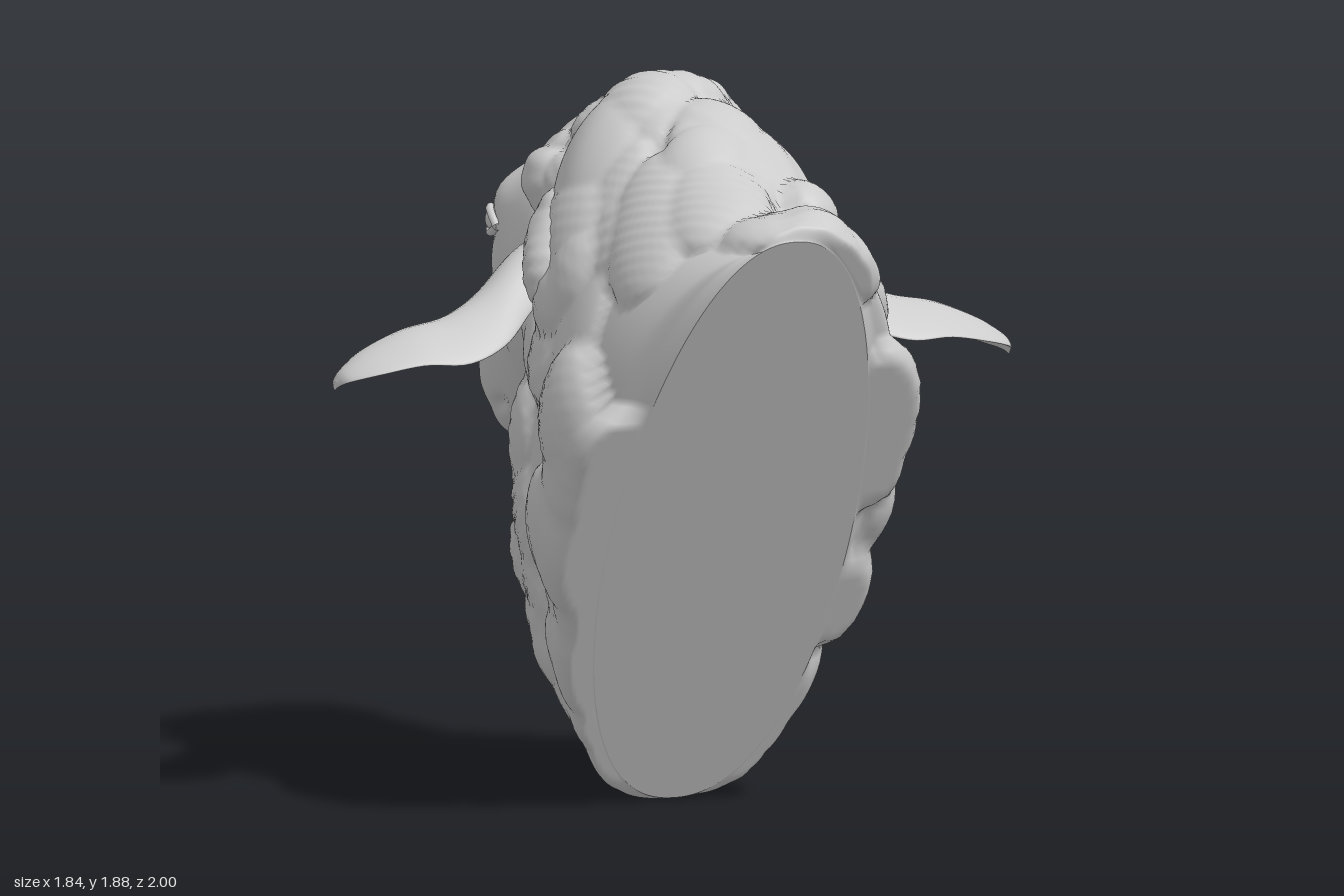
import * as THREE from 'three';

const V = (x, y, z) => new THREE.Vector3(x, y, z);
const wool = new THREE.MeshStandardMaterial({ color: 0xcccccc });

function seeded(seed) {
  return () => {
    seed = (seed * 1664525 + 1013904223) % 4294967296;
    return seed / 4294967296;
  };
}

// Closed skin from rings: f(u, angle) gives a point; both ends are capped flat.
function loft(nu, nv, f, displace) {
  const pos = [], index = [], caps = [];
  for (let i = 0; i <= nu; i++)
    for (let j = 0; j < nv; j++) pos.push(...f(i / nu, (j / nv) * Math.PI * 2).toArray());
  for (let i = 0; i < nu; i++)
    for (let j = 0; j < nv; j++) {
      const k = (j + 1) % nv, a = i * nv + j, b = i * nv + k;
      index.push(a, b, a + nv, b, b + nv, a + nv);
    }
  const g = new THREE.BufferGeometry();
  g.setAttribute('position', new THREE.Float32BufferAttribute(pos, 3));
  g.setIndex(index);
  g.computeVertexNormals();
  if (displace) {
    const P = g.attributes.position, N = g.attributes.normal;
    for (let i = 0; i < P.count; i++) {
      const p = V().fromBufferAttribute(P, i), n = V().fromBufferAttribute(N, i);
      p.addScaledVector(n, displace(p, Math.floor(i / nv) / nu, n));
      p.toArray(pos, i * 3);
    }
  }
  for (const row of [0, nu]) {
    const start = pos.length / 3, c = V();
    for (let j = 0; j < nv; j++) {
      const p = V().fromArray(pos, (row * nv + j) * 3);
      c.addScaledVector(p, 1 / nv);
      pos.push(...p.toArray());
    }
    pos.push(...c.toArray());
    for (let j = 0; j < nv; j++) {
      const k = (j + 1) % nv;
      caps.push(start + nv, start + (row ? j : k), start + (row ? k : j));
    }
  }
  g.setAttribute('position', new THREE.Float32BufferAttribute(pos, 3));
  g.setIndex([...index, ...caps]);
  g.computeVertexNormals();
  return g;
}

// Smooth interpolation through rows of numbers
function sample(rows, u) {
  const t = u * (rows.length - 1), i = Math.min(Math.floor(t), rows.length - 2), s = t - i;
  const r = k => rows[Math.max(0, Math.min(rows.length - 1, k))];
  return rows[0].map((_, c) => {
    const [a, b, d, e] = [r(i - 1)[c], r(i)[c], r(i + 1)[c], r(i + 2)[c]];
    return b + 0.5 * s * (d - a + s * (2 * a - 5 * b + 4 * d - e + s * (3 * (b - d) + e - a)));
  });
}

// Ring rows: z and y of one end, z and y of the other end, half width, skew
const rings = (rows, power = 0.8) => (u, a) => {
  const [z0, y0, z1, y1, w, skew] = sample(rows, u);
  const c = Math.cos(a), s = Math.sin(a), m = (1 + c) / 2;
  const x = w * Math.sign(s) * Math.pow(Math.abs(s), power) * (1 + skew * c);
  return V(x, y1 + (y0 - y1) * m, z1 + (z0 - z1) * m);
};

// Rounded, streaked locks scattered over a skin
function woolLocks(f, count, radius, height, seed) {
  const rnd = seeded(seed), locks = [];
  for (let i = 0; i < count; i++)
    locks.push({
      p: f(0.03 + rnd() * 0.95, rnd() * Math.PI * 2),
      r: radius * (1 + rnd()),
      d: V(rnd() - 0.5, rnd() - 0.5, rnd() - 0.5).normalize(),
      h: height * (0.55 + rnd() * 0.7)
    });
  return (p, u) => {
    let best = 0;
    for (const l of locks) {
      const q = p.clone().sub(l.p), along = q.dot(l.d);
      const d2 = (q.lengthSq() - 0.55 * along * along) / (l.r * l.r);
      if (d2 >= 1) continue;
      const dome = Math.sqrt(1 - d2);
      best = Math.max(best, l.h * dome + 0.002 * dome * Math.sin(q.x * 60 + q.y * 75 + along * 90));
    }
    return (best - 0.02) * THREE.MathUtils.smoothstep(u, 0, 0.06);
  };
}

export function createModel() {
  const model = new THREE.Group();
  const add = (name, geometry) => {
    const mesh = new THREE.Mesh(geometry, wool);
    mesh.name = name;
    model.add(mesh);
    return mesh;
  };

  // Woolly neck, cut off by a slanted plane at the shoulders
  const neck = rings([
    [1.0, 1.56, 0.1, 0.0, 0.33, -0.06],
    [0.95, 1.57, 0.08, 0.03, 0.415, 0.08],
    [0.82, 1.585, 0.05, 0.09, 0.435, 0.14],
    [0.64, 1.62, 0.01, 0.16, 0.435, 0.06],
    [0.48, 1.69, -0.04, 0.22, 0.42, -0.03],
    [0.32, 1.78, -0.09, 0.3, 0.4, -0.12],
    [0.15, 1.82, -0.12, 0.4, 0.37, -0.15],
    [0.02, 1.81, -0.13, 0.5, 0.32, -0.1],
    [-0.06, 1.75, -0.13, 0.62, 0.26, 0],
    [-0.11, 1.64, -0.12, 0.8, 0.15, 0.1]
  ], 0.9);
  const neckLocks = woolLocks(neck, 120, 0.1, 0.068, 11);
  const cut = V(0, -0.5, 0.866);
  add('woollyNeck', loft(150, 190, neck, (p, u, n) => {
    const room = Math.max(0, 0.086 - p.dot(cut)), lean = n.dot(cut);
    const rise = neckLocks(p, u);
    return lean > 0.01 ? Math.min(rise, room / lean) : rise;
  }));

  // Bare throat under the jaw
  add('throat', loft(24, 40, rings([
    [0.1, 0.4, -0.12, 0.45, 0.13, 0],
    [0.1, 0.6, -0.18, 0.62, 0.18, 0],
    [0.1, 0.85, -0.23, 0.78, 0.2, 0],
    [0.05, 1.1, -0.33, 0.92, 0.21, 0],
    [0, 1.2, -0.42, 1.0, 0.18, 0]
  ])));

  // Head with brow, eye socket, cheek, nostril and mouth modelled by soft dents: x, y, z, radius, height
  const dents = [
    [0.27, 1.5, -0.47, 0.08, 0.025], [0.28, 1.42, -0.5, 0.06, -0.015],
    [0.22, 1.3, -0.6, 0.08, -0.02], [0.26, 1.15, -0.3, 0.13, 0.012],
    [0.12, 1.06, -0.92, 0.05, 0.02], [0.1, 1.02, -0.955, 0.025, -0.035],
    [0.1, 0.95, -0.92, 0.05, 0.015], [0.08, 0.84, -0.9, 0.05, 0.01],
    [0, 1.0, -1.0, 0.03, -0.015]
  ];
  for (let i = 0; i <= 18; i++)
    dents.push([0.02 + 0.13 * Math.sqrt(i / 18), 0.915 - 0.02 * Math.sin(i / 6), -0.97 + i * 0.012, 0.016, -0.008]);
  const faceRelief = p => dents.reduce((sum, [x, y, z, r, h]) => {
    const d2 = (Math.abs(p.x) - x) ** 2 + (p.y - y) ** 2 + (p.z - z) ** 2;
    return sum + h * Math.exp(-d2 / (r * r));
  }, 0);
  add('head', loft(110, 96, rings([
    [-0.02, 1.58, -0.08, 1.12, 0.22, 0],
    [-0.14, 1.64, -0.18, 1.0, 0.29, 0.04],
    [-0.26, 1.65, -0.28, 0.94, 0.295, 0.1],
    [-0.4, 1.635, -0.4, 0.9, 0.28, 0.18],
    [-0.52, 1.6, -0.5, 0.885, 0.262, 0.22],
    [-0.62, 1.52, -0.6, 0.865, 0.215, 0.17],
    [-0.72, 1.4, -0.7, 0.84, 0.183, 0.08],
    [-0.81, 1.28, -0.79, 0.82, 0.168, 0.05],
    [-0.89, 1.18, -0.86, 0.8, 0.155, 0.06],
    [-0.95, 1.13, -0.91, 0.82, 0.13, 0.08],
    [-0.985, 1.09, -0.95, 0.88, 0.09, 0.06],
    [-1.0, 1.05, -0.985, 0.97, 0.045, 0]
  ]), faceRelief));

  // Ear rows: x, then y and z of the leading edge, y and z of the trailing edge, arch
  const earRows = [
    [0.24, 1.43, -0.15, 1.36, 0.02, 0.03],
    [0.36, 1.36, -0.15, 1.29, 0.07, 0.05],
    [0.48, 1.26, -0.12, 1.21, 0.18, 0.06],
    [0.6, 1.18, -0.1, 1.17, 0.23, 0.075],
    [0.72, 1.16, -0.075, 1.17, 0.22, 0.065],
    [0.83, 1.135, -0.04, 1.15, 0.2, 0.045],
    [0.9, 1.115, 0.03, 1.13, 0.16, 0.02],
    [0.92, 1.11, 0.08, 1.115, 0.11, 0]
  ];
  const ear = side => (u, angle) => {
    const a = angle * side, v = (1 - Math.cos(a)) / 2;
    const [x, y0, z0, y1, z1, arch] = sample(earRows, u);
    const thick = 0.012 + 0.035 * (1 - u) ** 3;
    const y = y0 + (y1 - y0) * v + arch * Math.sin(Math.PI * v) + thick * Math.sin(a);
    return V(side * x, y, z0 + (z1 - z0) * v);
  };

  for (const side of [1, -1]) {
    const label = side > 0 ? 'left' : 'right';
    add(label + 'Ear', loft(40, 36, ear(side)));

    // Eyeball and lids
    const eye = add(label + 'Eye', new THREE.SphereGeometry(0.042, 24, 16));
    eye.position.set(side * 0.25, 1.43, -0.48);
    for (const lid of [1, -1]) {
      const curve = new THREE.CatmullRomCurve3([-1, -0.5, 0, 0.5, 1].map(t =>
        V(side * (0.281 - 0.018 * t * t + 0.022 * t), 1.43 + lid * 0.03 * (1 - t * t) - 0.01 * t, -0.48 + t * 0.058)));
      add(label + (lid > 0 ? 'UpperEyelid' : 'LowerEyelid'), new THREE.TubeGeometry(curve, 20, 0.011, 8));
    }

    // Tapered lock curling over the ear: y, z, x, radius along its length
    const curlRows = [
      [1.27, 0.2, 0.35, 0.01], [1.36, 0.17, 0.35, 0.06], [1.45, 0.1, 0.32, 0.075],
      [1.5, 0.0, 0.28, 0.075], [1.52, -0.1, 0.25, 0.065], [1.52, -0.17, 0.24, 0.01]
    ];
    const curl = (u, a) => {
      const [y, z, x, r] = sample(curlRows, u);
      return V(side * x + r * Math.sin(a), y + r * Math.cos(a), z + r * 0.7 * Math.cos(a));
    };
    add(label + 'EarLock', loft(40, 32, curl, woolLocks(curl, 8, 0.09, 0.03, 5)));
  }

  // Forelock fringe lying over the poll
  const forelock = rings([
    [0.16, 1.77, 0.1, 1.4, 0.17, 0],
    [0.04, 1.81, 0.0, 1.4, 0.22, 0],
    [-0.07, 1.8, -0.08, 1.42, 0.255, -0.02],
    [-0.14, 1.73, -0.16, 1.45, 0.265, -0.02],
    [-0.2, 1.67, -0.21, 1.5, 0.245, 0],
    [-0.24, 1.64, -0.24, 1.55, 0.16, 0]
  ]);
  add('forelock', loft(60, 110, forelock, woolLocks(forelock, 36, 0.065, 0.06, 3)));
  return model;
}
